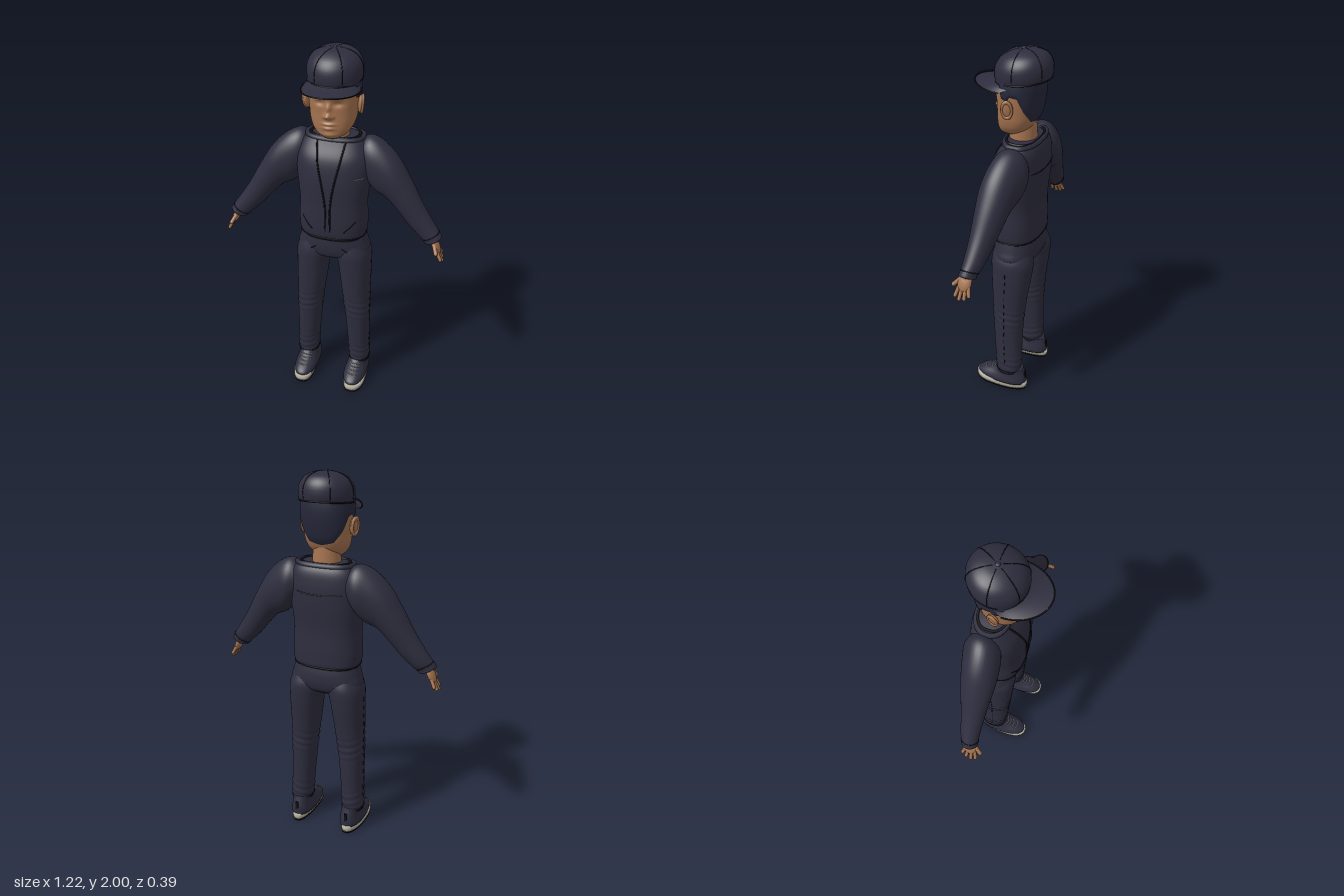
import * as THREE from 'three';
import { mergeVertices, mergeGeometries } from 'three/addons/utils/BufferGeometryUtils.js';

const V = (x, y, z) => new THREE.Vector3(x, y, z);
const mat = (name, color, side = THREE.FrontSide) => {
  const m = new THREE.MeshStandardMaterial({ color, side });
  m.name = name;
  return m;
};

// smooth surface from f(u, v), u and v in 0..1
function grid(f, nu, nv) {
  const pos = [], idx = [], w = nu + 1;
  for (let j = 0; j <= nv; j++) for (let i = 0; i <= nu; i++) pos.push(...f((i % nu) / nu, j / nv).toArray());
  for (let j = 0; j < nv; j++) for (let i = 0; i < nu; i++) {
    const a = j * w + i;
    idx.push(a, a + 1, a + w + 1, a, a + w + 1, a + w);
  }
  const g = new THREE.BufferGeometry();
  g.setAttribute('position', new THREE.Float32BufferAttribute(pos, 3));
  g.setIndex(idx);
  const m = mergeVertices(g, 1e-5);
  m.computeVertexNormals();
  return m;
}

const spline = (keys, rows) => new THREE.CubicInterpolant(keys, rows.flat(), rows[0].length);

// upright body from rows of [y, centre x, half width, front z, back z]
function body(rows, n = 2.4) {
  const s = spline(rows.map(r => r[0]), rows.map(r => r.slice(1)));
  const pw = a => Math.sign(a) * Math.abs(a) ** (2 / n);
  const at = (t, y) => {
    const [cx, rx, zf, zb] = s.evaluate(y);
    return V(cx + rx * pw(Math.sin(t)), y, (zf + zb) / 2 + (zf - zb) / 2 * pw(Math.cos(t)));
  };
  const face = (x, y, dir = 1) => {
    const [cx, rx, zf, zb] = s.evaluate(y);
    const k = Math.max(0, 1 - Math.abs((x - cx) / rx) ** n) ** (1 / n);
    return V(x, y, (zf + zb) / 2 + dir * (zf - zb) / 2 * k);
  };
  return { at, face, y0: rows[0][0], y1: rows[rows.length - 1][0] };
}

// closed solid: rings plus a collapsed ring at each end
function solid(b, nu = 40, nv = 30, at = b.at) {
  return grid((u, v) => {
    const k = v * nv, t = u * Math.PI * 2;
    const y = THREE.MathUtils.lerp(b.y0, b.y1, THREE.MathUtils.clamp((k - 1) / (nv - 2), 0, 1));
    if (k > 0.5 && k < nv - 0.5) return at(t, y);
    return at(0, y).add(at(Math.PI, y)).multiplyScalar(0.5);
  }, nu, nv);
}

function line(pts, r = 0.003, closed = false) {
  const c = new THREE.CatmullRomCurve3(pts, closed);
  return new THREE.TubeGeometry(c, pts.length * 5, r, 6, closed);
}

function mirrored(g) {
  const m = g.clone().scale(-1, 1, 1), ix = m.index.array;
  for (let i = 0; i < ix.length; i += 3) [ix[i], ix[i + 1]] = [ix[i + 1], ix[i]];
  return m;
}

export function createModel() {
  const root = new THREE.Group();
  root.name = 'figure';
  const cloth = mat('navy cloth', 0x2e2d3e), skin = mat('skin', 0xa57350), hairMat = mat('hair', 0x26273a, THREE.DoubleSide),
    black = mat('black trim', 0x101016), soleMat = mat('pale sole', 0xb9b5a3), grey = mat('grey lace', 0x85858a);
  const add = (name, geo, m) => {
    const mesh = new THREE.Mesh(geo, m);
    mesh.name = name;
    root.add(mesh);
  };
  const pair = (name, geo, m) => {
    add('left' + name, geo, m);
    add('right' + name, mirrored(geo), m);
  };

  // jacket
  const torso = body([[0.985, 0, 0.165, 0.075, -0.15], [1.0, 0, 0.176, 0.084, -0.164], [1.05, 0, 0.184, 0.092, -0.168],
    [1.2, 0, 0.18, 0.092, -0.165], [1.35, 0, 0.194, 0.09, -0.176], [1.45, 0, 0.196, 0.07, -0.176],
    [1.52, 0, 0.17, 0.03, -0.164], [1.552, 0, 0.14, 0.012, -0.145]], 2.5);
  add('jacketBody', solid(torso, 64, 44), cloth);
  const loop = (y, grow) => [...Array(24)].map((_, i) => {
    const p = torso.at(i / 24 * Math.PI * 2, y);
    p.x *= grow;
    return p;
  });
  add('collar', line(loop(1.545, 1), 0.013, true), cloth);
  add('collarEdge', line(loop(1.553, 0.9), 0.007, true), black);
  add('jacketHem', line(loop(1.003, 1), 0.004, true), black);
  pair('ZipEdge', line([[0.075, 1.545], [0.06, 1.45], [0.032, 1.32], [0.014, 1.2], [0.013, 1.1], [0.013, 0.99]]
    .map(([x, y]) => torso.face(x, y)), 0.005), black);
  pair('JacketPocket', line([[0.085, 1.05], [0.115, 1.08], [0.145, 1.115]].map(([x, y]) => torso.face(x, y)), 0.003), black);
  add('backYoke', line([-0.17, -0.1, 0, 0.1, 0.17].map(x => torso.face(x, 1.4 + x * x * 0.6, -1))), black);
  add('chestTab', line([0.13, 0.15, 0.172].map(x => torso.face(x, 1.36)), 0.003), grey);

  // sleeves: rows of top edge x, y, bottom edge x, y, centre z, half depth
  const arm = [[0.13, 1.53, 0.15, 1.34, -0.075, 0.075], [0.185, 1.556, 0.19, 1.29, -0.072, 0.095], [0.255, 1.53, 0.23, 1.255, -0.062, 0.095],
    [0.335, 1.455, 0.285, 1.23, -0.052, 0.088], [0.405, 1.345, 0.345, 1.17, -0.046, 0.075], [0.475, 1.22, 0.41, 1.095, -0.038, 0.06],
    [0.545, 1.115, 0.465, 1.045, -0.03, 0.05], [0.578, 1.07, 0.492, 1.02, -0.022, 0.043], [0.586, 1.05, 0.505, 1.008, -0.02, 0.042],
    [0.56, 1.035, 0.525, 1.015, -0.02, 0.022]];
  const armS = spline(arm.map((_, i) => i), arm);
  const armAt = (t, k) => {
    const [ux, uy, lx, ly, zc, rz] = armS.evaluate(k), c = Math.cos(t) / 2;
    return V((ux + lx) / 2 + (ux - lx) * c, (uy + ly) / 2 + (uy - ly) * c, zc + rz * Math.sin(t));
  };
  pair('Sleeve', grid((u, v) => armAt(u * Math.PI * 2, v * 9), 36, 45), cloth);
  pair('CuffSeam', line([...Array(16)].map((_, i) => armAt(i / 8 * Math.PI, 6.7)), 0.0025, true), black);

  // hands, modelled hanging from the wrist and then swung outwards
  const finger = (z, y, len, tilt, r = 0.0095) =>
    new THREE.CapsuleGeometry(r, len, 4, 10).translate(0, -len / 2, 0).rotateX(tilt).translate(0, y, z);
  const hand = mergeGeometries([
    new THREE.SphereGeometry(1, 20, 14).scale(0.019, 0.05, 0.037).translate(0, -0.045, 0),
    new THREE.CylinderGeometry(0.021, 0.022, 0.06, 16).translate(0, 0, 0),
    finger(0.026, -0.07, 0.05, -0.22), finger(0.009, -0.075, 0.057, -0.07),
    finger(-0.009, -0.074, 0.052, 0.08), finger(-0.025, -0.066, 0.042, 0.25),
    finger(0.024, -0.03, 0.05, -0.7, 0.011)]);
  pair('Hand', hand.rotateZ(0.47).translate(0.54, 1.045, -0.012), skin);

  // trousers
  const hips = body([[0.825, 0, 0.06, -0.01, -0.09], [0.86, 0, 0.16, 0.045, -0.145], [0.9, 0, 0.198, 0.064, -0.163],
    [0.95, 0, 0.188, 0.07, -0.165], [1.01, 0, 0.172, 0.068, -0.155]]);
  add('trouserHips', solid(hips, 56, 20), cloth);
  const leg = body([[0.12, 0.158, 0.058, 0.022, -0.115], [0.15, 0.157, 0.06, 0.024, -0.12], [0.3, 0.15, 0.063, 0.036, -0.122],
    [0.5, 0.14, 0.072, 0.046, -0.126], [0.65, 0.129, 0.081, 0.055, -0.14], [0.8, 0.119, 0.091, 0.062, -0.16],
    [0.88, 0.11, 0.096, 0.064, -0.163], [0.95, 0.1, 0.075, 0.05, -0.14]], 2.2);
  // soft folds at the knee and ankle
  const folds = (t, y) => {
    const p = leg.at(t, y), k = Math.exp(-(((y - 0.52) / 0.06) ** 2)) + Math.exp(-(((y - 0.19) / 0.06) ** 2));
    p.z += Math.cos(t) * 0.003 * k * Math.sin(y * 150 + t * 2);
    p.x += Math.sin(t) * 0.003 * k * Math.sin(y * 150 + t * 2);
    return p;
  };
  pair('TrouserLeg', solid(leg, 40, 90, folds), cloth);
  pair('TrouserCuff', line([...Array(20)].map((_, i) => leg.at(i / 10 * Math.PI, 0.135)), 0.004, true), black);
  pair('TrouserPocket', line([[0.07, 0.935], [0.11, 0.905], [0.15, 0.885], [0.18, 0.892]].map(([x, y]) => hips.face(x, y))), black);
  const dashes = [];
  for (let y = 0.2; y < 0.82; y += 0.05) dashes.push(line([0, 0.012, 0.025].map(d => leg.at(Math.PI / 2, y + d)), 0.0025));
  pair('LegStitching', mergeGeometries(dashes), black);

  // shoes
  const slab = (y0, y1, grow) => {
    const w = t => 0.058 + 0.012 * Math.cos(t - 0.5);
    return grid((u, v) => {
      const t = u * Math.PI * 2, k = [0, 1, 1.02, 1, 0][Math.round(v * 4)] * grow;
      const z = Math.sign(Math.cos(t)) * Math.abs(Math.cos(t)) ** 0.8 * 0.159 * k;
      const x = Math.sign(Math.sin(t)) * Math.abs(Math.sin(t)) ** 0.8 * w(t) * k;
      return V(0.152 + x, [y0, y0, (y0 + y1) / 2, y1, y1][Math.round(v * 4)], z);
    }, 48, 4);
  };
  pair('Outsole', slab(0, 0.014, 0.97), black);
  pair('Midsole', slab(0.012, 0.048, 0.985), soleMat);
  const shoe = body([[0.04, 0.152, 0.064, 0.15, -0.152], [0.06, 0.152, 0.067, 0.146, -0.153], [0.08, 0.152, 0.062, 0.118, -0.152],
    [0.1, 0.152, 0.056, 0.075, -0.147], [0.12, 0.153, 0.053, 0.042, -0.14], [0.145, 0.155, 0.052, 0.018, -0.132]], 2.3);
  pair('ShoeUpper', solid(shoe, 44, 20), cloth);
  const laces = [0.088, 0.099, 0.11, 0.121].map(y => line([-0.03, -0.015, 0, 0.015, 0.03].map(d => shoe.face(0.152 + d, y)), 0.0035));
  pair('ShoeLaces', mergeGeometries(laces), grey);
  pair('HeelTab', new THREE.BoxGeometry(0.016, 0.05, 0.006).translate(0.152, 0.1, -0.149), black);

  // head, with the face raised and sunk by soft bumps
  const skull = body([[1.562, 0, 0.04, 0.045, -0.04], [1.58, 0, 0.07, 0.06, -0.07], [1.61, 0, 0.097, 0.066, -0.105],
    [1.65, 0, 0.113, 0.067, -0.128], [1.7, 0, 0.12, 0.067, -0.14], [1.76, 0, 0.126, 0.07, -0.149],
    [1.82, 0, 0.128, 0.07, -0.152], [1.9, 0, 0.115, 0.06, -0.145]], 2.4);
  const bumps = [[0, 1.69, 0.016, 0.016, 0.03], [0, 1.728, 0.012, 0.028, 0.02], [0.02, 1.684, 0.009, 0.009, 0.009],
    [0, 1.785, 0.07, 0.012, 0.011], [0.045, 1.75, 0.026, 0.014, -0.011], [0, 1.646, 0.032, 0.007, 0.01],
    [0, 1.624, 0.028, 0.008, 0.01], [0, 1.588, 0.03, 0.012, 0.007]];
  const headAt = (t, y) => {
    const p = skull.at(t, y), x = Math.abs(p.x);
    if (Math.cos(t) > 0) for (const [bx, by, sx, sy, h] of bumps)
      p.z += h * Math.exp(-(((x - bx) / sx) ** 2) - ((y - by) / sy) ** 2) * Math.min(1, Math.cos(t) * 3);
    return p;
  };
  add('head', solid(skull, 120, 76, headAt), skin);
  add('neck', new THREE.CylinderGeometry(0.066, 0.078, 0.16, 32).scale(1, 1, 0.95).translate(0, 1.585, -0.055), skin);
  const ear = mergeGeometries([new THREE.SphereGeometry(1, 20, 14).scale(0.014, 0.046, 0.03),
    new THREE.TorusGeometry(0.03, 0.008, 8, 24).scale(0.8, 1.35, 1).rotateY(Math.PI / 2).translate(0.008, 0, 0)]);
  pair('Ear', ear.rotateY(0.3).rotateZ(-0.08).translate(0.135, 1.732, -0.03), skin);

  // hair follows the skull above a hairline given by angle from the front
  const hairline = new THREE.LinearInterpolant([0, 65, 70, 84, 90, 106, 122, 150, 180], [1.84, 1.835, 1.775, 1.765, 1.79, 1.785, 1.72, 1.66, 1.645], 1);
  add('hair', grid((u, v) => {
    const t = u * Math.PI * 2, deg = THREE.MathUtils.radToDeg(Math.min(t, Math.PI * 2 - t));
    const p = skull.at(t, THREE.MathUtils.lerp(hairline.evaluate(deg)[0], 1.9, v));
    const out = 0.007 * Math.min(1, v * 8) + 0.001;
    return p.add(V(Math.sin(t) * out, 0, Math.cos(t) * out));
  }, 96, 20), hairMat);

  // cap
  const crown = new THREE.CatmullRomCurve3([[0.8, 0.006], [0.96, 0], [1, 0.03], [0.985, 0.06], [0.86, 0.1], [0.5, 0.134], [0, 0.146]]
    .map(([r, h]) => V(r, h, 0)));
  const capAt = (t, v) => {
    const p = crown.getPoint(v), z = Math.cos(t) * 0.141 * p.x;
    return V(Math.sin(t) * 0.14 * p.x, 1.85 + p.y - 0.1 * z, z - 0.055);
  };
  add('capCrown', grid((u, v) => capAt(u * Math.PI * 2, v), 60, 30), cloth);
  for (let i = 0; i < 6; i++)
    add('capSeam', line([0.25, 0.4, 0.55, 0.7, 0.82, 0.95].map(v => capAt((i + 0.5) * Math.PI / 3, v)), 0.0022), black);
  add('capBand', line([...Array(24)].map((_, i) => capAt(i / 12 * Math.PI, 0.17)), 0.004, true), black);
  add('capButton', new THREE.SphereGeometry(0.012, 16, 10).scale(1, 0.5, 1).translate(0, 1.994, -0.055), cloth);
  // brim: an arched crescent with a thin closed section
  const brimAt = (a, k, dy) => {
    const s = Math.sin(a), c = Math.cos(a), L = THREE.MathUtils.lerp;
    return V(L(0.128, 0.146, k) * s, L(1.845, 1.828 - 0.014 * s * s, k) + dy, L(-0.055 + 0.125 * c, 0.005 + 0.19 * c, k));
  };
  const section = [[0, 0.006], [0, -0.006], [0.5, -0.006], [0.98, -0.006], [1, 0], [0.98, 0.006], [0.5, 0.008]];
  add('capBrim', grid((u, v) => brimAt((v - 0.5) * 3.1, ...section[Math.round(u * 7) % 7]), 7, 40), cloth);
  add('brimEdge', line([...Array(21)].map((_, i) => brimAt((i / 20 - 0.5) * 3.1, 1, -0.004)), 0.0035), black);
  return root;
}
